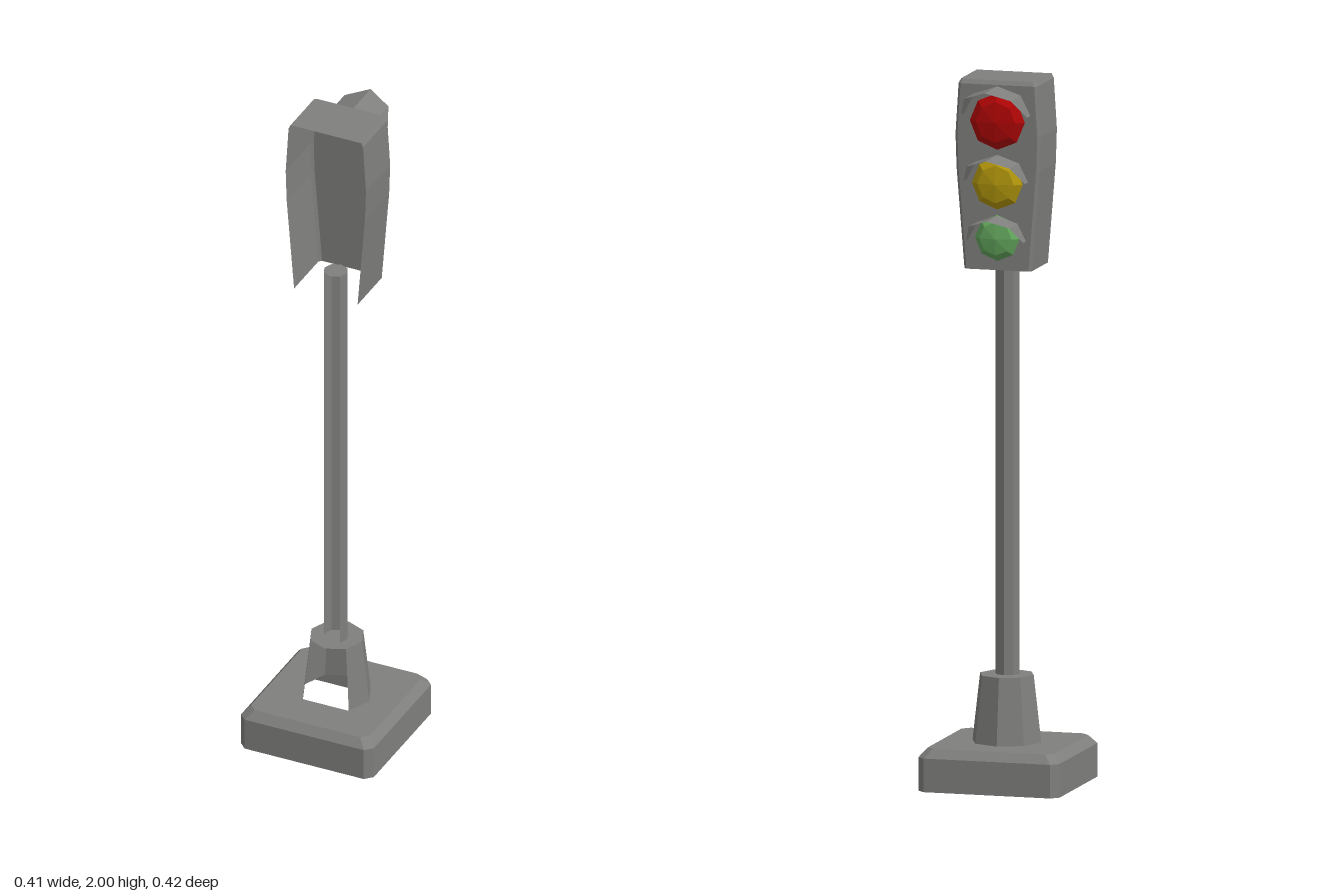
import * as THREE from 'three';

const material = (name, color) =>
  new THREE.MeshStandardMaterial({ name, color, flatShading: true, side: THREE.DoubleSide });

// Skin rows of [x, y, z] points with quads
function loft(rows) {
  const pos = [], index = [], n = rows[0].length;
  rows.forEach(row => row.forEach(p => pos.push(...p)));
  for (let i = 0; i < rows.length - 1; i++) {
    for (let j = 0; j < n - 1; j++) {
      const a = i * n + j, b = a + 1, c = a + n, d = c + 1;
      index.push(a, c, b, b, c, d);
    }
  }
  const g = new THREE.BufferGeometry();
  g.setAttribute('position', new THREE.Float32BufferAttribute(pos, 3));
  g.setIndex(index);
  g.computeVertexNormals();
  return g;
}

export function createModel() {
  const grey = material('grey metal', 0x7f7f7d);
  const red = material('red lens', 0xb00505);
  const yellow = material('yellow lens', 0xb4980c);
  const green = material('green lens', 0x64a85e);

  const model = new THREE.Group();
  model.name = 'trafficLight';
  const add = (name, geometry, mat, x = 0, y = 0, z = 0) => {
    const mesh = new THREE.Mesh(geometry, mat);
    mesh.name = name;
    mesh.position.set(x, y, z);
    model.add(mesh);
  };

  const CX = 0.004;

  // Base: square with cut corners, bevelled top edge, open underneath
  const outline = (r, cut) => [
    [-r, r - cut], [-r, -r + cut], [-r + cut, -r], [r - cut, -r],
    [r, -r + cut], [r, r - cut], [r - cut, r], [-r + cut, r], [-r, r - cut]
  ];
  const baseRow = (y, r) => outline(r, 0.021).map(([x, z]) => [x, y, z]);
  add('baseSides', loft([baseRow(0, 0.205), baseRow(0.095, 0.205), baseRow(0.12, 0.184)]), grey, 0, 0, 0.005);

  // Base top with a hole under the socket
  const top = new THREE.Shape(outline(0.184, 0.021).map(([x, z]) => new THREE.Vector2(x, -z)));
  const hole = [];
  for (let i = 1; i <= 7; i++) {
    const t = i * Math.PI / 4;
    hole.push(new THREE.Vector2(CX + 0.1 * Math.sin(t), -0.003 - 0.1 * Math.cos(t)));
  }
  top.holes.push(new THREE.Path(hole));
  add('baseTop', new THREE.ShapeGeometry(top).rotateX(-Math.PI / 2), grey, 0, 0.12, 0.005);

  // Eight-sided tubes, open at the front, with a lid on top
  const tube = (name, rTop, rBottom, y0, y1, z) => {
    add(name, new THREE.CylinderGeometry(rTop, rBottom, y1 - y0, 6, 1, true, Math.PI / 4, Math.PI * 1.5),
      grey, CX, (y0 + y1) / 2, z);
    add(name + 'Lid', new THREE.CircleGeometry(rTop, 8).rotateX(-Math.PI / 2), grey, CX, y1, z);
  };
  tube('socket', 0.078, 0.1, 0.12, 0.31, 0.008);
  tube('pole', 0.035, 0.035, 0.31, 1.515, 0.015);

  // Housing shell: bulging sides, lamp panel and top; open at front and bottom
  const FRONT = 0.079;
  const shellRow = (y, w, zSide, zPanel) => [
    [-w, y, FRONT], [-w, y, zSide], [-w + 0.008, y, zPanel],
    [w - 0.008, y, zPanel], [w, y, zSide], [w, y, FRONT]
  ];
  add('housing', loft([
    shellRow(1.465, 0.098, -0.077, -0.085),
    shellRow(1.75, 0.121, -0.077, -0.085),
    shellRow(1.845, 0.124, -0.077, -0.085),
    shellRow(1.988, 0.115, -0.077, -0.085),
    shellRow(2, 0.109, -0.072, -0.077),
    shellRow(2, 0.109, FRONT, FRONT)
  ]), grey, CX);

  // Lamps: faceted dome lens under a slanted half-octagon hood
  const lamps = [
    { name: 'red', mat: red, hoodY: 1.905, lensY: 1.885, r: 0.08, w: 0.096, reach: 0.125 },
    { name: 'yellow', mat: yellow, hoodY: 1.717, lensY: 1.71, r: 0.074, w: 0.089, reach: 0.115 },
    { name: 'green', mat: green, hoodY: 1.55, lensY: 1.556, r: 0.065, w: 0.083, reach: 0.104 }
  ];
  for (const { name, mat, hoodY, lensY, r, w, reach } of lamps) {
    const profile = [[r, 0], [r * 0.72, 0.018], [0, 0.026]].map(p => new THREE.Vector2(...p));
    add(name + 'Lens', new THREE.LatheGeometry(profile, 8).rotateX(-Math.PI / 2), mat, CX, lensY, -0.085);

    const lip = [], root = [];
    for (let i = 0; i <= 4; i++) {
      const t = Math.PI * (1 - i / 4), s = Math.sin(t);
      const x = w * Math.cos(t), y = w * 0.83 * s;
      lip.push([x, y, -reach * (0.26 + 0.74 * s)]);
      root.push([x, y, 0]);
    }
    add(name + 'Hood', loft([lip, root]), grey, CX, hoodY, -0.085);
  }

  return model;
}
